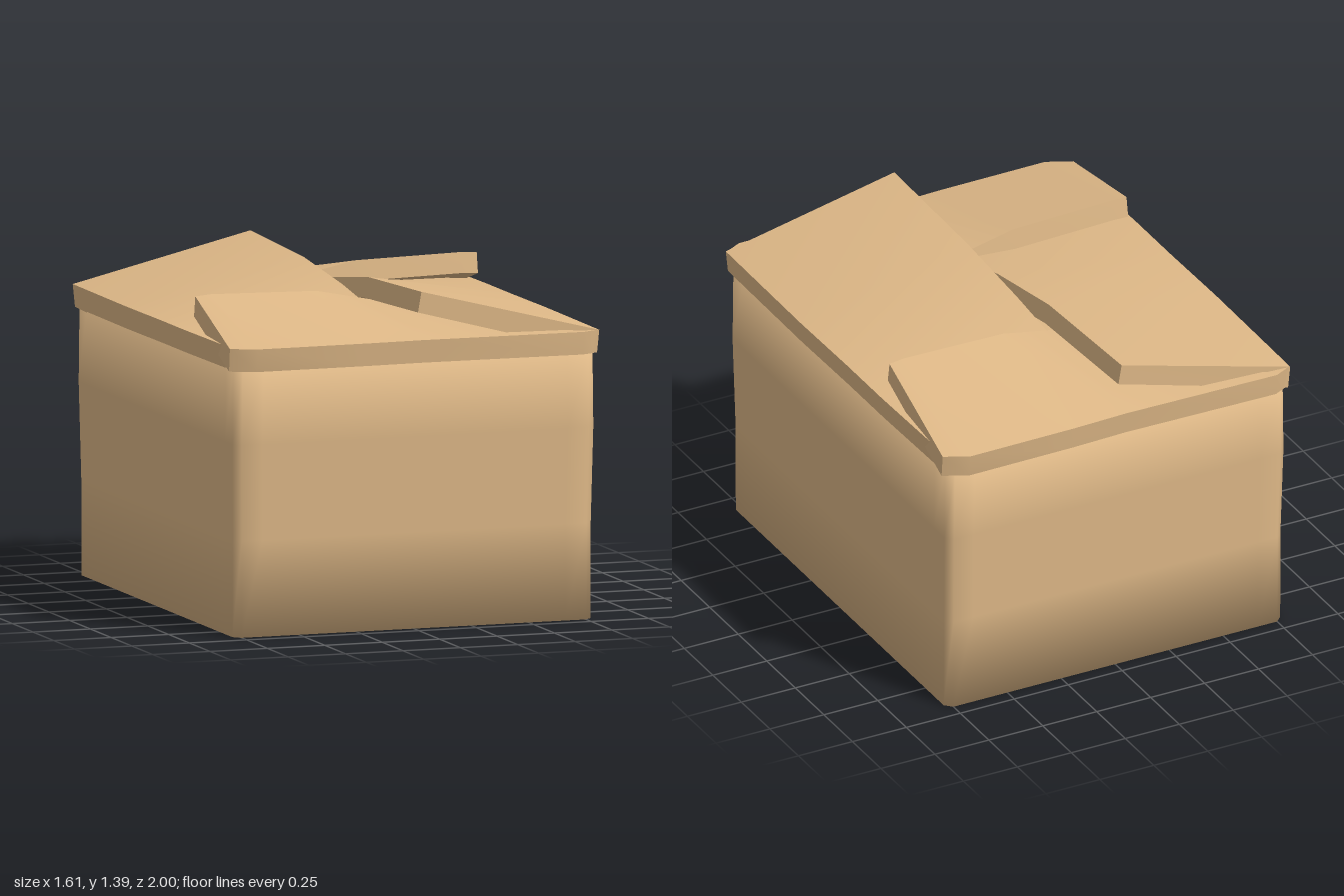
import * as THREE from 'three';
import { toCreasedNormals } from 'three/addons/utils/BufferGeometryUtils.js';

const cardboard = new THREE.MeshStandardMaterial({ color: 0xdeb887 });

// Closed loft through rings of points, counter-clockwise seen from the last ring's side
function loft(rings, crease) {
  const n = rings[0].length;
  const last = (rings.length - 1) * n;
  const index = [];
  for (let i = 0; i < rings.length - 1; i++) {
    for (let k = 0; k < n; k++) {
      const a = i * n + k, b = i * n + (k + 1) % n;
      index.push(a, b, b + n, a, b + n, a + n);
    }
  }
  for (let k = 1; k < n - 1; k++) {
    index.push(0, k + 1, k, last, last + k, last + k + 1);
  }
  const geometry = new THREE.BufferGeometry();
  geometry.setAttribute('position', new THREE.Float32BufferAttribute(rings.flat(2), 3));
  geometry.setIndex(index);
  return toCreasedNormals(geometry, crease);
}

// Rectangle with small bevelled corners, at height y
function outline(X, Z, y) {
  const points = [];
  for (const [sx, sz] of [[1, -1], [-1, -1], [-1, 1], [1, 1]]) {
    const corner = [[X, Z - 0.12], [X, Z - 0.03], [X - 0.03, Z], [X - 0.12, Z]]
      .map(([x, z]) => [sx * x, y, sz * z]);
    points.push(...(sx * sz < 0 ? corner : corner.reverse()));
  }
  return points;
}

function createBody() {
  const rings = [
    outline(0.74, 0.9, 0),
    outline(0.78, 0.94, 0),
    outline(0.78, 0.942, 0.4),
    outline(0.786, 0.957, 0.8),
    outline(0.782, 0.957, 1.13),
    outline(0.74, 0.91, 1.13),
  ];
  return new THREE.Mesh(loft(rings, 1.7), cardboard);
}

// Flap hinged on the +x side. Each station along z:
// [z at hinge, hinge x, z at free edge, free edge x, free edge height]
function createFlap(stations) {
  const rings = stations.map(([zOut, xOut, zIn, xIn, h]) => [
    [xOut - 0.01, 1.105, zOut],
    [xOut, 1.2, zOut],
    [xIn, h, zIn],
    [xIn - 0.015, h - 0.085, zIn],
  ]);
  return new THREE.Mesh(loft(rings, 1.0), cardboard);
}

const sideStations = [
  [-0.95, 0.79, -0.95, -0.01, 1.17],
  [-0.4, 0.8, -0.4, -0.01, 1.25],
  [-0.1, 0.8, -0.1, 0.01, 1.31],
  [0.3, 0.805, 0.3, 0.03, 1.365],
  [0.96, 0.8, 0.92, 0.04, 1.39],
];

const endStations = [
  [-0.79, 0.96, -0.75, 0.37, 1.15],
  [-0.72, 0.995, -0.4, 0.37, 1.2],
  [-0.03, 0.985, -0.03, 0.365, 1.28],
  [0.22, 0.995, 0.22, 0.37, 1.33],
  [0.7, 1, 0.68, 0.375, 1.34],
  [0.805, 0.95, 0.75, 0.38, 1.335],
];

export function createModel() {
  const model = new THREE.Group();
  model.name = 'cardboardBox';

  const body = createBody();
  body.name = 'boxBody';
  model.add(body);

  // Four flaps folded in turn, each over one neighbour and under the other
  const flaps = [
    ['leftFlap', sideStations, 0],
    ['frontFlap', endStations, -Math.PI / 2],
    ['rightFlap', sideStations, Math.PI],
    ['backFlap', endStations, Math.PI / 2],
  ];
  for (const [name, stations, turn] of flaps) {
    const flap = createFlap(stations);
    flap.name = name;
    flap.rotation.y = turn;
    model.add(flap);
  }
  return model;
}
